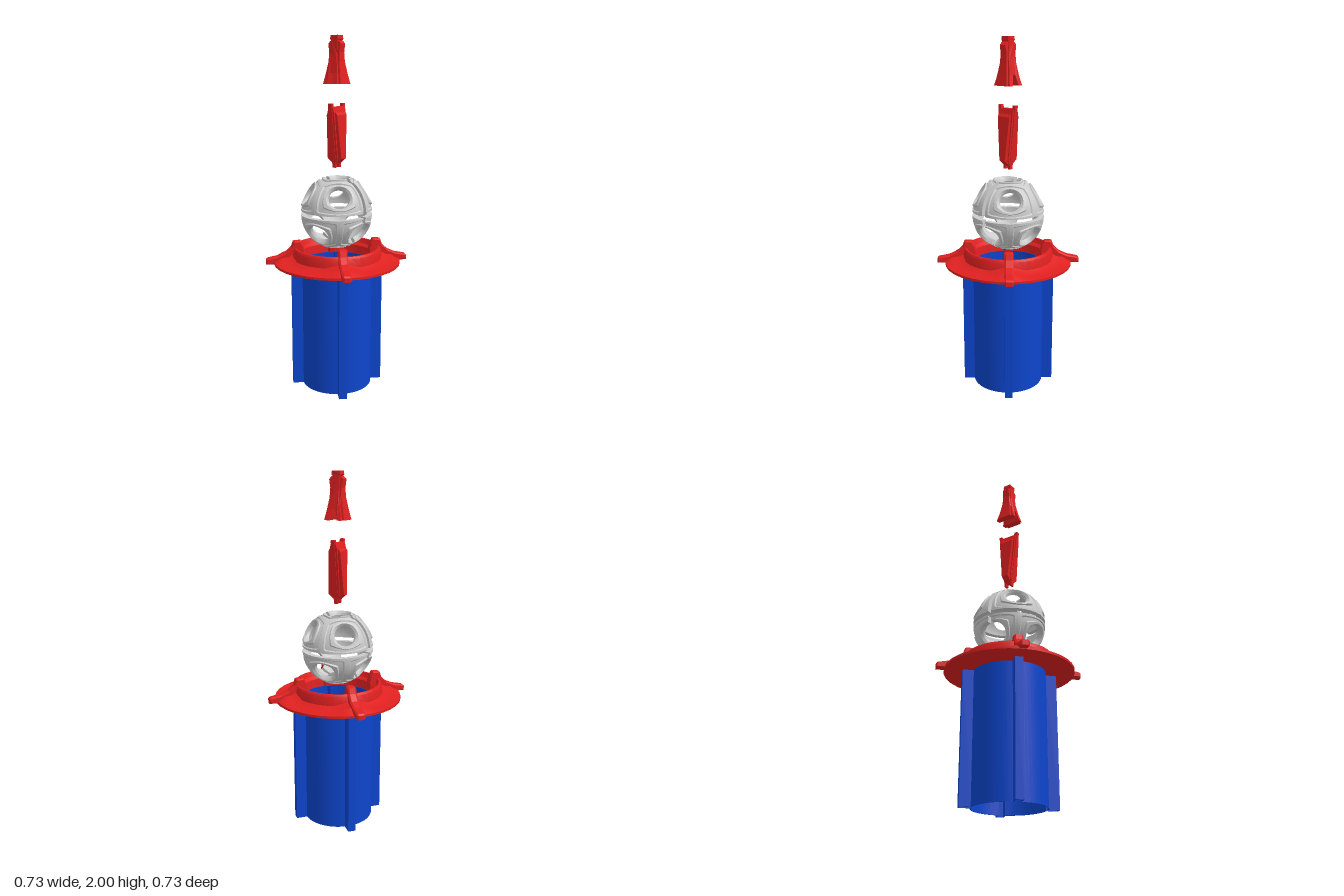
import * as THREE from 'three';
import { toCreasedNormals } from 'three/addons/utils/BufferGeometryUtils.js';

const V = (x, y, z) => new THREE.Vector3(x, y, z);
const mat = (color) => new THREE.MeshStandardMaterial({ color, side: THREE.DoubleSide });
const RED = mat(0xe02020), BLUE = mat(0x0d45cc), GREY = mat(0xcccccc);

function mesh(name, geometry, material) {
  const m = new THREE.Mesh(geometry, material);
  m.name = name;
  return m;
}
const shapeOf = (pts) => new THREE.Shape(pts.map(([x, y]) => new THREE.Vector2(x, y)));

// Linear interpolation in a short table of [y, value]
function table(rows) {
  return (y) => {
    if (y <= rows[0][0]) return rows[0][1];
    for (let i = 1; i < rows.length; i++) {
      const [a, va] = rows[i - 1], [b, vb] = rows[i];
      if (y <= b) return va + (vb - va) * (y - a) / (b - a);
    }
    return rows[rows.length - 1][1];
  };
}

// Symmetric x-y outline (right half, bottom to top) whose half depth in z depends on y
function taperedPlate(half, depthAt) {
  const pts = [...half, ...half.slice().reverse().map(([x, y]) => [-x, y])];
  const g = new THREE.ExtrudeGeometry(shapeOf(pts), { depth: 2, bevelEnabled: false });
  g.translate(0, 0, -1);
  const p = g.attributes.position;
  for (let i = 0; i < p.count; i++) p.setZ(i, p.getZ(i) * depthAt(p.getY(i)));
  g.computeVertexNormals();
  return g;
}

// Round tube outline with four radial channels on the diagonals
function tubeOutline(r, finR, w) {
  const pts = [], gap = Math.asin(w / r);
  for (let k = 0; k < 4; k++) {
    const a = Math.PI / 4 + k * Math.PI / 2, c = Math.cos(a), s = Math.sin(a);
    for (const side of [-1, 1])
      pts.push([finR * c - side * w * s, finR * s + side * w * c]);
    const n = 14, span = Math.PI / 2 - 2 * gap;
    for (let i = 0; i <= n; i++) {
      const t = a + gap + span * i / n;
      pts.push([r * Math.cos(t), r * Math.sin(t)]);
    }
  }
  return pts;
}

function buildTube() {
  const s = shapeOf(tubeOutline(0.202, 0.262, 0.022));
  s.holes.push(shapeOf(tubeOutline(0.197, 0.257, 0.017)));
  const g = new THREE.ExtrudeGeometry(s, { depth: 0.735, bevelEnabled: false });
  g.rotateX(-Math.PI / 2);
  return mesh('tube', toCreasedNormals(g, 0.5), BLUE);
}

function buildFlange() {
  const group = new THREE.Group();
  group.name = 'flange';
  // Disc and collar, swept up towards the arms
  const profile = [[0.203, 0.732], [0.363, 0.732], [0.363, 0.745], [0.315, 0.747], [0.285, 0.75], [0.258, 0.765],
    [0.253, 0.815], [0.246, 0.826], [0.236, 0.826], [0.226, 0.8], [0.207, 0.785], [0.203, 0.732]];
  const ring = new THREE.LatheGeometry(profile.map(([x, y]) => new THREE.Vector2(x, y)), 32);
  const p = ring.attributes.position;
  for (let i = 0; i < p.count; i++) {
    const x = p.getX(i), z = p.getZ(i), r = Math.hypot(x, z);
    const near = Math.max(0, -Math.cos(4 * Math.atan2(x, z)));
    if (p.getY(i) > 0.746 && r > 0.257) p.setY(i, p.getY(i) + 0.032 * near * near);
  }
  group.add(mesh('collarRing', toCreasedNormals(ring, 0.5), RED));
  // Four diagonal arms
  const arm = new THREE.ExtrudeGeometry(shapeOf([[0.19, 0.735], [0.408, 0.735], [0.408, 0.76], [0.4, 0.768],
    [0.34, 0.78], [0.295, 0.8], [0.262, 0.832], [0.252, 0.862], [0.242, 0.866], [0.208, 0.866], [0.193, 0.84], [0.184, 0.8]]),
  { depth: 0.032, bevelEnabled: true, bevelThickness: 0.009, bevelSize: 0.006, bevelOffset: -0.006, bevelSegments: 1 });
  arm.translate(0, 0, -0.016);
  for (let k = 0; k < 4; k++) {
    const m = mesh('arm', arm, RED);
    m.rotation.y = Math.PI / 4 + k * Math.PI / 2;
    group.add(m);
  }
  return group;
}

// Relief of the shell from a hole's rim (t = 0) to the border of its cell (t = 1)
const RELIEF = [[0, 0.181], [0.12, 0.195], [0.32, 0.197], [0.4, 0.189], [0.55, 0.189], [0.7, 0.189], [0.78, 0.195], [1, 0.195]];
const INNER = 0.165, RIM = 0.335;

// One cell of the shell around a round hole; cells on the z = 0 plane are halved
function shellCell(axis, axes, ySign) {
  const halved = Math.abs(axis.z) < 1e-6;
  const e2 = V(0, 0, 1), e1 = V(0, 0, 0);
  if (halved) e1.crossVectors(e2, axis);
  else {
    e1.crossVectors(V(0, 1, 0), axis).normalize();
    e2.crossVectors(axis, e1);
  }
  const dir = (th, ph) => axis.clone().multiplyScalar(Math.cos(th))
    .addScaledVector(e1, Math.sin(th) * Math.cos(ph)).addScaledVector(e2, Math.sin(th) * Math.sin(ph));
  const inside = (d) => d.z > -1e-6 && d.y * ySign > -1e-6 && axes.every((b) => d.dot(axis) >= d.dot(b) - 1e-9);
  const n = halved ? 48 : 96, pos = [], idx = [], K = RELIEF.length, L = 2 * K;
  for (let i = 0; i <= n; i++) {
    const ph = (halved ? Math.PI : 2 * Math.PI) * i / n;
    let lo = RIM, hi = 1.5;
    for (let s = 0; s < 24; s++) {
      const mid = (lo + hi) / 2;
      if (inside(dir(mid, ph))) lo = mid; else hi = mid;
    }
    const at = (t) => dir(RIM + (lo - RIM) * t, ph);
    for (const [t, r] of RELIEF) pos.push(...at(t).multiplyScalar(r));
    for (const [t] of RELIEF.slice().reverse()) pos.push(...at(t).multiplyScalar(INNER));
  }
  for (let i = 0; i < n; i++)
    for (let j = 0; j < L; j++) {
      const a = i * L + j, b = i * L + (j + 1) % L;
      idx.push(a, b, b + L, a, b + L, a + L);
    }
  // Cut faces of a halved cell
  if (halved)
    for (const o of [0, n * L])
      for (let j = 0; j < K - 1; j++) {
        const a = o + j, b = a + 1, c = o + L - 2 - j, d = c + 1;
        if (o) idx.push(a, b, c, a, c, d); else idx.push(a, c, b, a, d, c);
      }
  const g = new THREE.BufferGeometry();
  g.setAttribute('position', new THREE.Float32BufferAttribute(pos, 3));
  g.setIndex(idx);
  return toCreasedNormals(g, 0.45);
}

function buildShell() {
  const group = new THREE.Group();
  group.name = 'sphereShell';
  const s = Math.sin(0.55), c = Math.cos(0.55), q = c * Math.SQRT1_2;
  const halves = [
    ['upperQuarter', 1, [V(0, 1, 0), V(q, s, q), V(-q, s, q)]],
    ['lowerQuarter', -1, [V(0, -1, 0), V(0, -s, c), V(c, -s, 0), V(-c, -s, 0)]],
  ];
  for (const [name, ySign, axes] of halves) {
    const quarter = new THREE.Group();
    quarter.name = name;
    for (const axis of axes) {
      const g = shellCell(axis, axes, ySign);
      g.translate(0, 0.012 * ySign, 0.012);
      quarter.add(mesh('shellPanel', g, GREY));
    }
    const back = quarter.clone();
    back.rotation.y = Math.PI;
    group.add(quarter, back);
  }
  group.position.y = 1.03;
  return group;
}

function buildWedge() {
  const group = new THREE.Group();
  group.name = 'wedge';
  // Tapered body, a deeper core and a cross plate with two ears
  group.add(mesh('wedgeBody', taperedPlate(
    [[0.012, 1.305], [0.048, 1.335], [0.036, 1.575], [0.026, 1.59]],
    table([[1.3, 0.017], [1.59, 0.045]])), RED));
  group.add(mesh('wedgeCore', taperedPlate(
    [[0.012, 1.3], [0.024, 1.33], [0.022, 1.59], [0.014, 1.62]],
    table([[1.3, 0.022], [1.62, 0.057]])), RED));
  const plate = new THREE.ExtrudeGeometry(shapeOf([[-0.024, 1.283], [-0.012, 1.283], [-0.01, 1.31], [0.01, 1.31],
    [0.012, 1.283], [0.024, 1.283], [0.026, 1.32], [0.064, 1.637], [0.045, 1.637], [0.043, 1.62],
    [-0.043, 1.62], [-0.045, 1.637], [-0.064, 1.637], [-0.026, 1.32]]), { depth: 0.022, bevelEnabled: false });
  plate.translate(0, 0, -0.011).rotateY(Math.PI / 2);
  group.add(mesh('wedgePlate', plate, RED));
  return group;
}

function buildFinial() {
  const group = new THREE.Group();
  group.name = 'finial';
  // Flared body on two legs, with a rib down each side and a small cap
  group.add(mesh('finialBody', taperedPlate(
    [[0.009, 1.8], [0.022, 1.742], [0.06, 1.742], [0.048, 1.8], [0.037, 1.86], [0.034, 1.91], [0.042, 1.955], [0.03, 1.968], [0.022, 1.972]],
    table([[1.742, 0.045], [1.8, 0.034], [1.86, 0.025], [1.972, 0.019]])), RED));
  group.add(mesh('finialRib', taperedPlate(
    [[0.009, 1.8], [0.022, 1.742], [0.048, 1.742], [0.036, 1.8], [0.025, 1.86], [0.02, 1.91], [0.02, 1.98]],
    table([[1.742, 0.06], [1.8, 0.044], [1.86, 0.033], [1.91, 0.026], [1.98, 0.023]])), RED));
  group.add(mesh('finialCap', taperedPlate(
    [[0.018, 1.965], [0.026, 1.98], [0.024, 2]],
    table([[1.965, 0.018], [1.98, 0.025], [2, 0.023]])), RED));
  return group;
}

export function createModel() {
  const model = new THREE.Group();
  model.name = 'explodedAssembly';
  model.add(buildTube(), buildFlange(), buildShell(), buildWedge(), buildFinial());
  return model;
}
